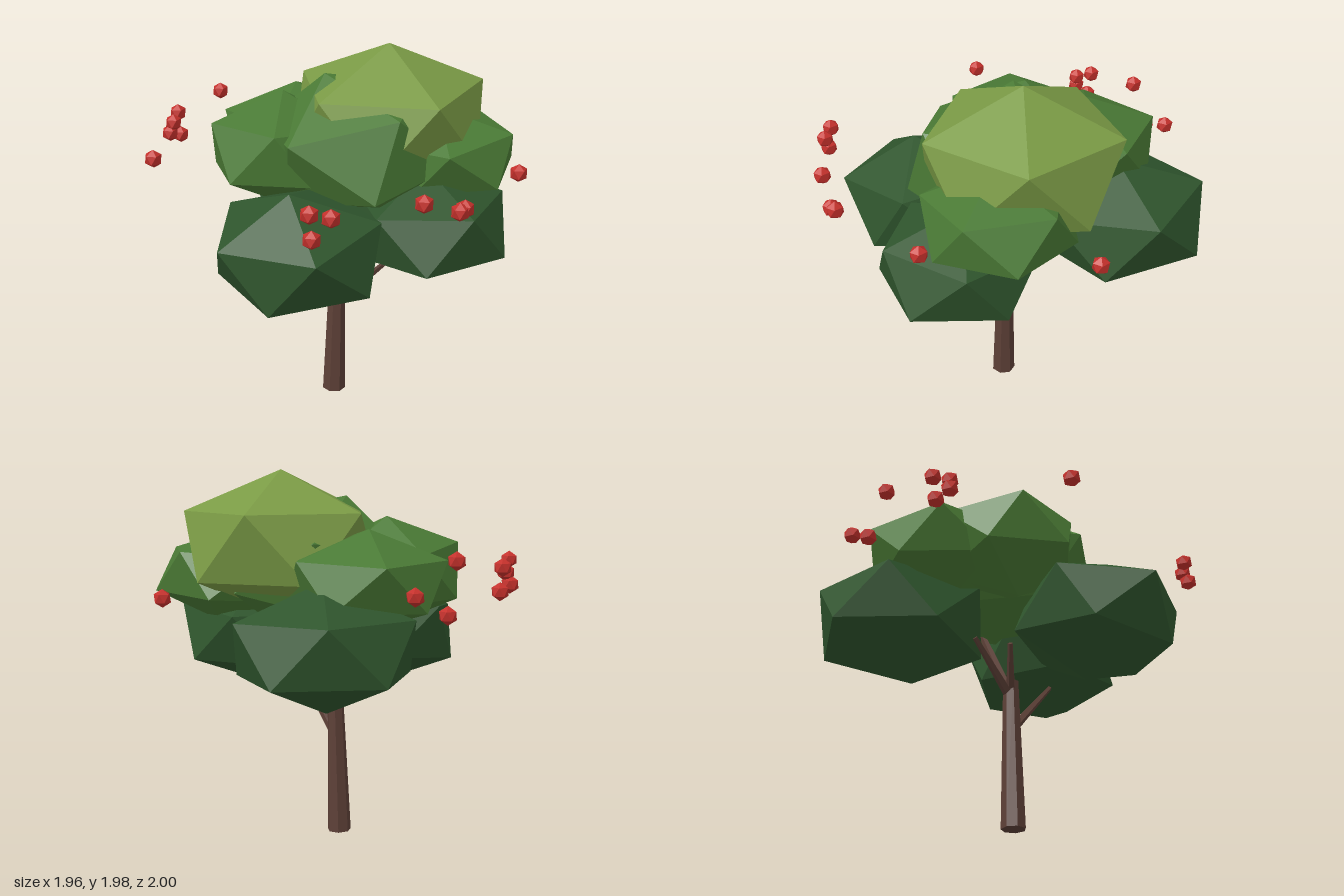
import * as THREE from 'three';

const material = (name, color) => {
  const m = new THREE.MeshStandardMaterial({ color });
  m.name = name;
  return m;
};

export function createModel() {
  const tree = new THREE.Group();
  tree.name = 'tree';
  const bark = material('bark brown', 0x5d4037);
  const dark = material('dark leaf green', 0x2f552d);
  const mid = material('mid leaf green', 0x4a7a35);
  const light = material('light leaf green', 0x7a9a45);
  const red = material('berry red', 0xc4302b);
  const rad = THREE.MathUtils.degToRad;

  const add = (name, geometry, mat, parent = tree) => {
    const mesh = new THREE.Mesh(geometry, mat);
    mesh.name = name;
    parent.add(mesh);
    return mesh;
  };

  // Tapered, faceted limb between two points
  const limb = (name, from, to, r0, r1, sides) => {
    const a = new THREE.Vector3(...from);
    const dir = new THREE.Vector3(...to).sub(a);
    const length = dir.length();
    const geo = new THREE.CylinderGeometry(r1, r0, length, sides).toNonIndexed();
    geo.computeVertexNormals();
    geo.translate(0, length / 2, 0);
    const mesh = add(name, geo, bark);
    mesh.position.copy(a);
    mesh.quaternion.setFromUnitVectors(new THREE.Vector3(0, 1, 0), dir.normalize());
  };

  limb('trunk', [-0.035, 0, 0], [-0.01, 0.81, 0], 0.065, 0.042, 7);
  limb('frontBranch', [-0.01, 0.56, 0.02], [0.09, 0.88, 0.31], 0.026, 0.014, 5);
  limb('leftBranch', [-0.01, 0.72, 0], [0.26, 1.2, -0.03], 0.032, 0.018, 5);
  limb('rightBranch', [-0.01, 0.74, 0], [-0.17, 0.95, -0.1], 0.026, 0.014, 5);
  limb('backBranch', [-0.01, 0.72, 0], [-0.08, 0.98, -0.26], 0.028, 0.014, 5);

  // Icosahedron standing on a corner, with an upper corner facing +z
  const uprightIcosahedron = (r) =>
    new THREE.IcosahedronGeometry(r, 0).rotateX(-Math.atan((1 + Math.sqrt(5)) / 2));

  // Flattened leaf clump; yaw is the bearing of an upper corner
  const clump = (name, mat, [x, y, z], r, ry, yaw, tiltX = 0, tiltZ = 0) => {
    const geo = uprightIcosahedron(1);
    geo.rotateY(rad(90 - yaw));
    geo.rotateX(rad(tiltX));
    geo.rotateZ(rad(tiltZ));
    geo.scale(r, ry, r);
    add(name, geo, mat).position.set(x, y, z);
  };

  // Lower foliage
  clump('frontRightFoliage', dark, [-0.405, 1.08, 0.295], 0.48, 0.325, 177, 5, 8);
  clump('frontLeftFoliage', dark, [0.31, 1.1, 0.39], 0.455, 0.3, 90, -5);
  clump('backLeftFoliage', dark, [0.255, 1.125, -0.535], 0.51, 0.32, -72, 3);
  // Middle foliage
  clump('backMiddleFoliage', mid, [-0.01, 1.43, -0.425], 0.445, 0.26, -80, -4);
  clump('rightMiddleFoliage', mid, [-0.26, 1.45, -0.17], 0.41, 0.29, 195, -5, -6);
  clump('frontMiddleFoliage', mid, [0.09, 1.47, 0.04], 0.545, 0.39, 154, -11, 15);
  clump('leftMiddleFoliage', mid, [0.5, 1.42, 0.25], 0.415, 0.25, -25, 0, 8);
  // Crown
  clump('crownFoliage', light, [0.28, 1.59, 0.03], 0.565, 0.385, 93);

  // Berries around the canopy
  const berries = new THREE.Group();
  berries.name = 'berries';
  tree.add(berries);
  const berryGeo = uprightIcosahedron(0.047);
  [
    [-0.94, 1.49, -0.22], [-0.65, 1.42, -0.73], [-0.63, 1.48, -0.72],
    [-0.575, 1.51, -0.785], [-0.575, 1.39, -0.765], [-0.27, 1.56, -0.89],
    [-0.2, 1.315, -0.945], [-0.025, 1.41, -0.96], [0.94, 1.345, -0.07],
    [0.63, 1.42, 0.7], [0.125, 1.425, 0.945], [0.09, 1.42, 0.955],
    [-0.1, 1.495, 0.94], [-0.51, 1.465, 0.815], [-0.59, 1.48, 0.76],
    [-0.59, 1.365, 0.78],
  ].forEach(([x, y, z]) => add('berry', berryGeo, red, berries).position.set(x, y, z));

  return tree;
}
